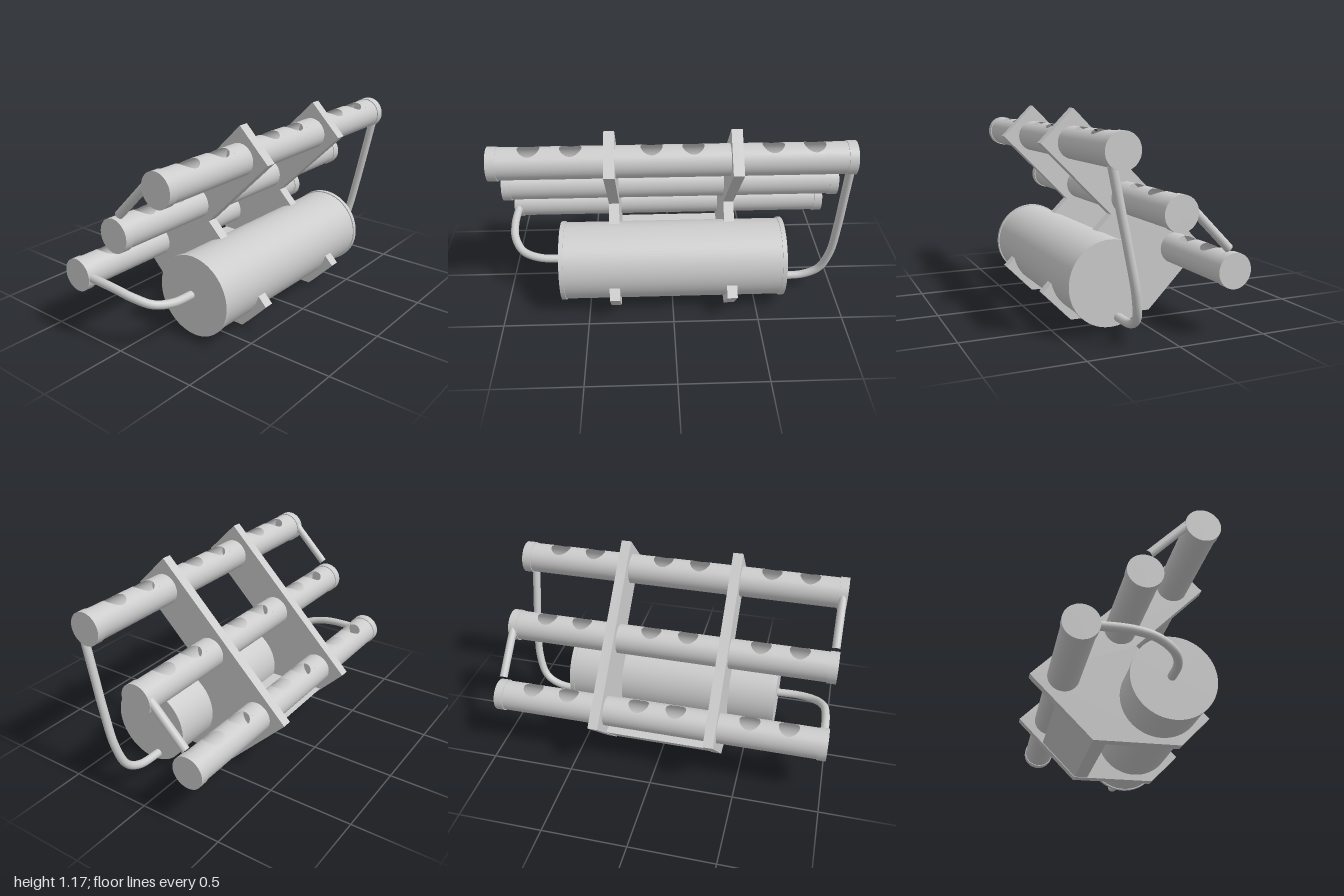
import * as THREE from 'three';
import { ParametricGeometry } from 'three/addons/geometries/ParametricGeometry.js';

const mat = new THREE.MeshStandardMaterial({ color: 0xcccccc });
const thinMat = new THREE.MeshStandardMaterial({ color: 0xcccccc, side: THREE.DoubleSide });

const TUBE_R = 0.09, HOLE_R = 0.06, PATCH = 0.066, TUBE_HALF = 0.96;
const HOLES = [-0.775, -0.55, -0.115, 0.11, 0.545, 0.77];

function add(parent, name, geometry, material = mat) {
  const mesh = new THREE.Mesh(geometry, material);
  mesh.name = name;
  parent.add(mesh);
  return mesh;
}

// Cylinder lying along x
function barrel(r, x0, x1, segments = 64) {
  const g = new THREE.CylinderGeometry(r, r, x1 - x0, segments);
  return g.rotateZ(Math.PI / 2).translate((x0 + x1) / 2, 0, 0);
}

// Open part of a cylinder wall along x, between two angles (top is PI / 2)
function wall(x0, x1, start, length, segments) {
  const g = new THREE.CylinderGeometry(TUBE_R, TUBE_R, x1 - x0, segments, 1, true, start, length);
  return g.rotateZ(Math.PI / 2).translate((x0 + x1) / 2, 0, 0);
}

// Curved wall patch with a round hole in its middle
function holePatch(cx) {
  return new ParametricGeometry((u, v, p) => {
    const a = u * Math.PI * 2, c = Math.cos(a), s = Math.sin(a);
    const square = PATCH / Math.max(Math.abs(c), Math.abs(s));
    const r = HOLE_R + (square - HOLE_R) * v;
    const z = s * r;
    p.set(cx + c * r, Math.sqrt(TUBE_R * TUBE_R - z * z), z);
  }, 48, 4);
}

// Profile in (z, y), extruded along x and centred
function slab(points, width) {
  const shape = new THREE.Shape(points.map(([z, y]) => new THREE.Vector2(z, y)));
  const g = new THREE.ExtrudeGeometry(shape, { depth: width, bevelEnabled: false });
  return g.translate(0, 0, -width / 2).rotateY(-Math.PI / 2);
}

function hose(points) {
  const curve = new THREE.CatmullRomCurve3(points.map((p) => new THREE.Vector3(...p)));
  return new THREE.TubeGeometry(curve, 48, 0.024, 16);
}

// Hollow tube with a row of holes along its top and a cap on each end
function perforatedTube() {
  const tube = new THREE.Group();
  const phi = Math.asin(PATCH / TUBE_R);
  add(tube, 'tubeWall', wall(-TUBE_HALF, TUBE_HALF, Math.PI / 2 + phi, 2 * Math.PI - 2 * phi, 48), thinMat);
  let x = -TUBE_HALF;
  for (const cx of [...HOLES, TUBE_HALF + PATCH]) {
    add(tube, 'tubeTop', wall(x, cx - PATCH, Math.PI / 2 - phi, 2 * phi, 16), thinMat);
    if (cx < TUBE_HALF) add(tube, 'tubeHole', holePatch(cx), thinMat);
    x = cx + PATCH;
  }
  for (const s of [-1, 1]) {
    add(tube, 'tubeCap', barrel(0.095, -0.026, 0.026, 48)).position.x = s * 0.974;
  }
  return tube;
}

export function createModel() {
  const model = new THREE.Group();
  model.name = 'tubeRack';

  // Three tubes stepping down towards the back
  for (const [name, y, z] of [['upperTube', 0.985, 0.315], ['middleTube', 0.67, 0], ['lowerTube', 0.355, -0.315]]) {
    const tube = perforatedTube();
    tube.name = name;
    tube.position.set(0, y, z);
    model.add(tube);
  }

  // Tank with a rim at each end
  const tank = new THREE.Group();
  tank.name = 'tank';
  tank.position.set(0, 0.265, 0.224);
  add(tank, 'tankBody', barrel(0.229, -0.65, 0.65, 96));
  for (const s of [-1, 1]) add(tank, 'tankRim', barrel(0.235, -0.013, 0.013, 96)).position.x = s * 0.647;
  model.add(tank);

  // Bracket plates holding the tubes and the tank
  const profile = [
    [0.315, 1.17], [0.5, 0.985], [0.092, 0.577], [0.5, 0.167],
    [0.335, 0], [-0.15, 0], [-0.5, 0.355],
  ];
  for (const s of [-1, 1]) add(model, 'bracket', slab(profile, 0.06)).position.x = s * 0.342;

  // Block joining the brackets below the tank
  add(model, 'crossBlock', slab([[-0.07, 0.003], [0, 0.21], [-0.35, 0.21], [-0.147, 0.003]], 0.63));

  // Hoses from the tank and short links between the tubes
  add(model, 'upperHose', hose([
    [0.97, 0.93, 0.362], [0.97, 0.72, 0.318], [0.97, 0.5, 0.271], [0.958, 0.28, 0.224],
    [0.91, 0.145, 0.196], [0.82, 0.09, 0.184], [0.64, 0.077, 0.18],
  ]));
  add(model, 'lowerHose', hose([
    [-0.64, 0.268, 0.212], [-0.8, 0.275, 0.205], [-0.9, 0.292, 0.16],
    [-0.955, 0.325, 0.07], [-0.973, 0.348, -0.05], [-0.973, 0.355, -0.26],
  ]));
  add(model, 'lowerLink', hose([[0.973, 0.69, -0.07], [0.973, 0.47, -0.29]]));
  add(model, 'upperLink', hose([[-0.973, 1.005, 0.245], [-0.973, 0.785, 0.025]]));
  return model;
}
